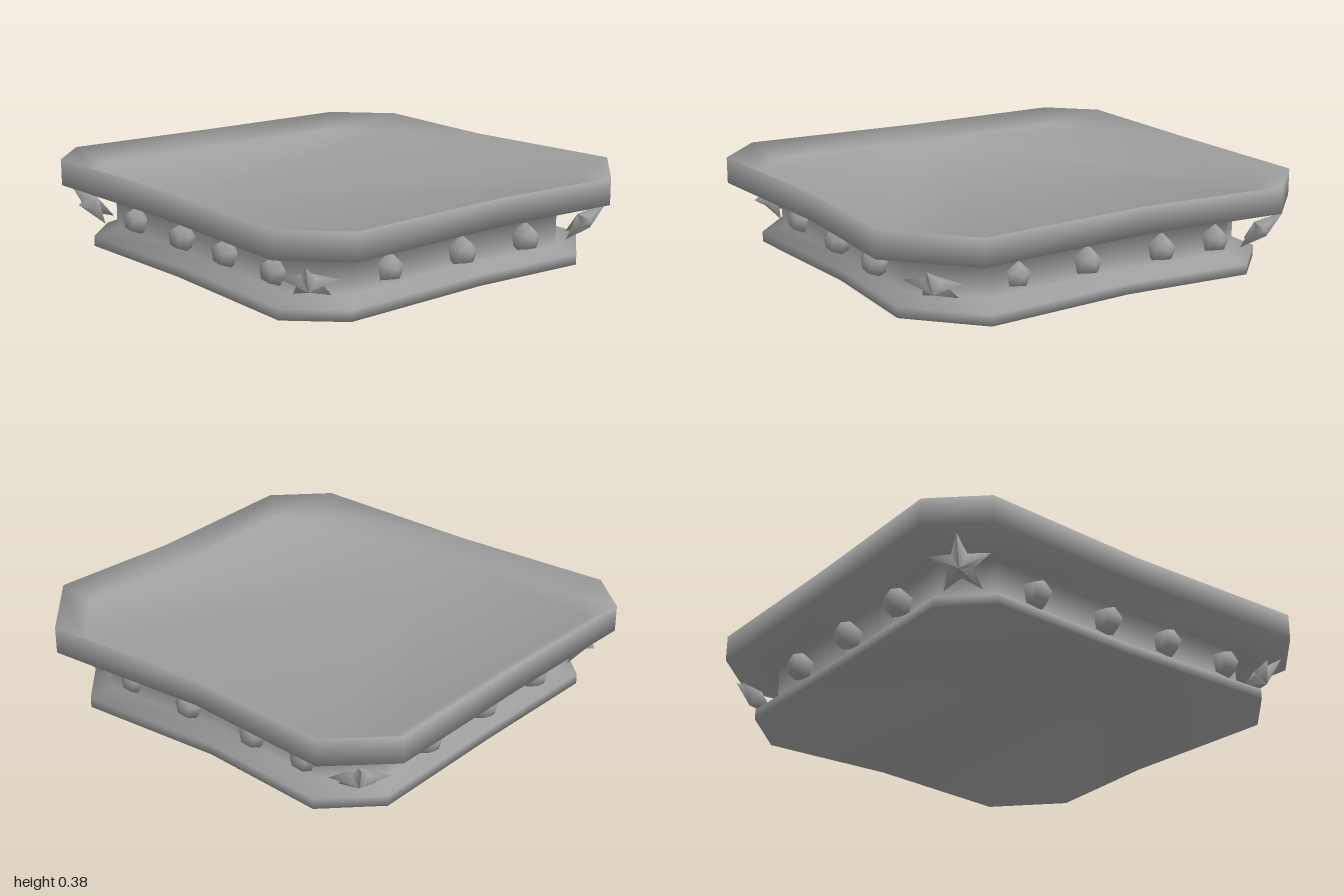
import * as THREE from 'three';

const material = new THREE.MeshStandardMaterial({ color: 0xa0a0a0 });

// Uneven rectangle with cut corners and pinched sides, as [x, z]
const outline = [
  [-0.77, -0.99], [-0.05, -0.987], [0.69, -1], [0.92, -0.77], [0.885, -0.11], [0.95, 0.65],
  [0.65, 0.95], [0.05, 0.935], [-0.73, 1], [-0.955, 0.79], [-0.93, -0.05], [-0.955, -0.79],
];

// Smooth normals weighted by corner angle, so broad caps shade softly towards their rims
function smoothNormals(points, index) {
  const normals = points.map(() => new THREE.Vector3());
  const e1 = new THREE.Vector3(), e2 = new THREE.Vector3(), face = new THREE.Vector3();
  for (let i = 0; i < index.length; i += 3) {
    for (let k = 0; k < 3; k++) {
      const v = index[i + k];
      e1.subVectors(points[index[i + (k + 1) % 3]], points[v]);
      e2.subVectors(points[index[i + (k + 2) % 3]], points[v]);
      face.crossVectors(e1, e2).normalize();
      normals[v].addScaledVector(face, e1.angleTo(e2));
    }
  }
  return normals.map((normal) => normal.normalize());
}

// Capped skin through scaled outlines; rings are [y, x scale, z scale] from bottom to top
function loft(rings) {
  const n = outline.length, index = [];
  const points = rings.flatMap(([y, sx, sz]) => outline.map(([x, z]) => new THREE.Vector3(x * sx, y, z * sz)));
  for (let i = 0; i < rings.length - 1; i++) {
    for (let j = 0; j < n; j++) {
      const a = i * n + j, b = i * n + (j + 1) % n;
      index.push(a, a + n, b, b, a + n, b + n);
    }
  }
  // Caps fan out from the middle of one side
  const top = (rings.length - 1) * n, hub = 10;
  for (let k = 1; k < n - 1; k++) {
    const b = (hub + k) % n, c = (hub + k + 1) % n;
    index.push(hub, b, c, top + hub, top + c, top + b);
  }
  const geometry = new THREE.BufferGeometry().setFromPoints(points);
  const normals = smoothNormals(points, index).flatMap((v) => v.toArray());
  geometry.setAttribute('normal', new THREE.Float32BufferAttribute(normals, 3));
  geometry.setIndex(index);
  return geometry;
}

// Five-pointed star, swelling to a point on both faces, facing +z
function starGeometry(radius, depth) {
  const geometry = new THREE.SphereGeometry(1, 10, 2);
  const p = geometry.attributes.position;
  for (let i = 0; i < p.count; i++) {
    const r = (i % 11) % 2 ? radius * 0.42 : radius;
    p.setXYZ(i, p.getX(i) * r, p.getY(i) * depth, p.getZ(i) * r);
  }
  geometry.computeVertexNormals();
  return geometry.rotateX(Math.PI / 2).rotateZ(-Math.PI / 2);
}

export function createModel() {
  const model = new THREE.Group();

  function add(name, geometry, position = [0, 0, 0], facing = [0, 0, 1]) {
    const mesh = new THREE.Mesh(geometry, material);
    mesh.name = name;
    mesh.position.set(...position);
    mesh.lookAt(new THREE.Vector3(...facing).add(mesh.position));
    model.add(mesh);
  }

  // Foot, upright neck, overhanging rim and dished top in one skin
  add('plinth', loft([
    [0, 0.9, 0.875], [0.045, 0.9, 0.875], [0.08, 0.81, 0.805], [0.24, 0.81, 0.805],
    [0.27, 1, 1], [0.385, 1, 1], [0.32, 0.9, 0.9],
  ]));

  // Studs round the neck
  const stud = new THREE.SphereGeometry(0.063, 5, 4).rotateX(Math.PI / 2).rotateZ(-Math.PI / 2 - 0.12);
  const y = 0.152;
  for (const x of [-0.41, -0.03, 0.32]) add('frontStud', stud, [x, y, 0.79], [0, 0, 1]);
  for (const x of [-0.4, -0.04, 0.33]) add('backStud', stud, [x, y, -0.83], [0, 0, -1]);
  for (const z of [-0.56, -0.29, 0.07, 0.4]) add('leftStud', stud, [0.745, y, z], [1, 0, 0]);
  for (const z of [-0.45, -0.09, 0.23, 0.56]) add('rightStud', stud, [-0.78, y, z], [-1, 0, 0]);

  // Stars on the cut corners, tilted downwards
  const star = starGeometry(0.125, 0.04);
  for (const [x, z] of [[0.72, 0.74], [-0.78, 0.78], [0.73, -0.82], [-0.79, -0.82]]) {
    add('cornerStar', star, [x, y, z], [Math.sign(x), -1.6, Math.sign(z)]);
  }

  return model;
}
